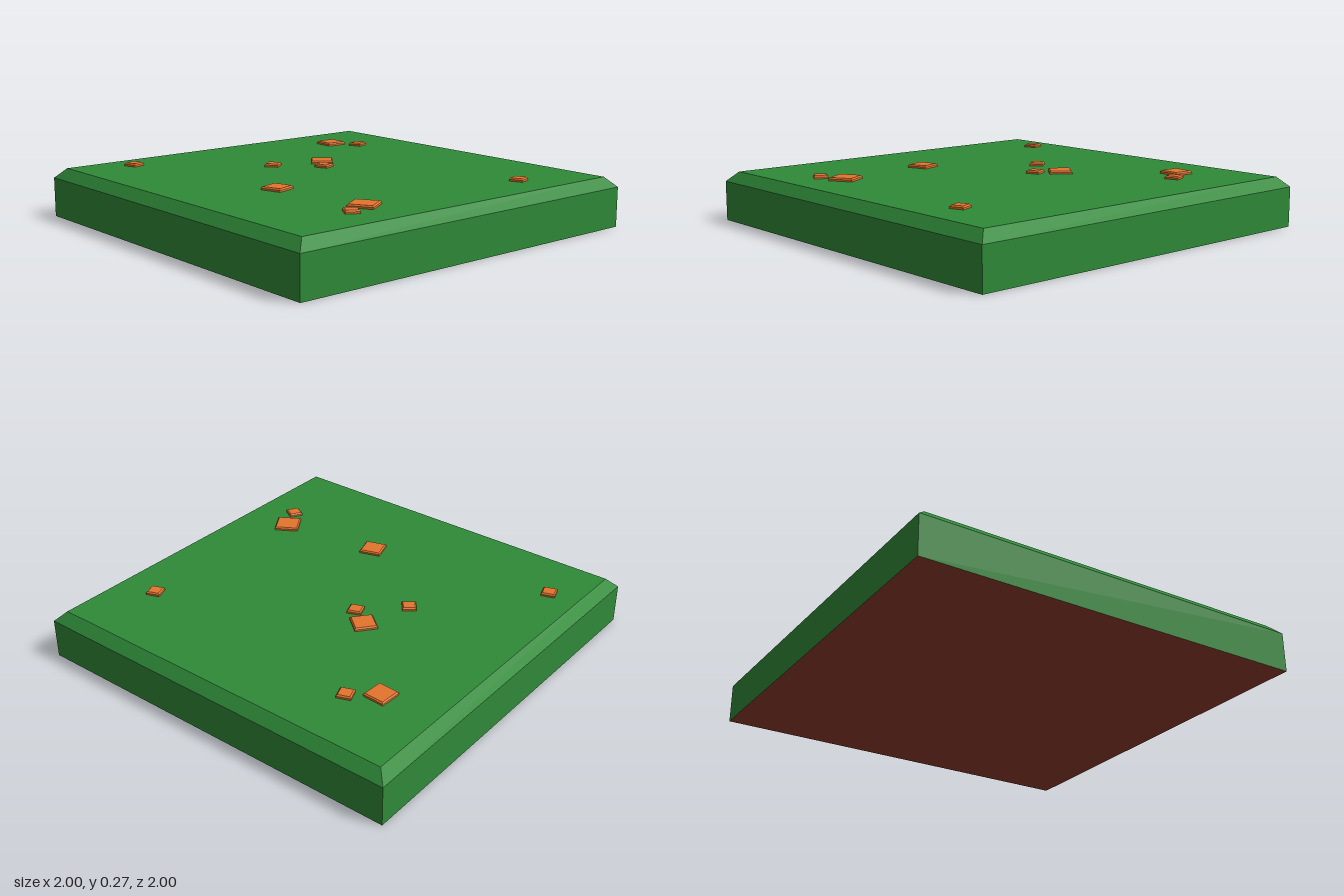
import * as THREE from 'three';

// Square block with sloped or upright sides, sitting on y = 0
function block(bottom, top, height, openEnded) {
  const r = Math.SQRT1_2;
  const g = new THREE.CylinderGeometry(top * r, bottom * r, height, 4, 1, openEnded, Math.PI / 4);
  g.translate(0, height / 2, 0);
  const flat = g.toNonIndexed();
  flat.computeVertexNormals();
  return flat;
}

export function createModel() {
  const grass = new THREE.MeshStandardMaterial({ color: 0x2f8a38 });
  grass.name = 'grass green';
  const earth = new THREE.MeshStandardMaterial({ color: 0x943e2f });
  earth.name = 'earth brown';
  const clay = new THREE.MeshStandardMaterial({ color: 0xe4742d });
  clay.name = 'clay orange';

  const model = new THREE.Group();
  model.name = 'groundTile';
  const add = (parent, name, geometry, material, y) => {
    const mesh = new THREE.Mesh(geometry, material);
    mesh.name = name;
    mesh.position.y = y;
    parent.add(mesh);
  };

  // Tile: upright sides, bevelled top and earthen underside
  add(model, 'tileSides', block(2, 2, 0.2, true), grass, 0);
  add(model, 'tileTop', block(2, 1.9, 0.05, false), grass, 0.2);
  add(model, 'underside', new THREE.PlaneGeometry(2, 2).rotateX(Math.PI / 2), earth, 0);

  // Scattered bevelled stones: x, z, width, turn in degrees
  const stones = [
    [-0.648, -0.797, 0.07, 18],
    [0.557, -0.657, 0.113, -3],
    [0.65, -0.533, 0.07, 20],
    [-0.11, -0.328, 0.07, 38],
    [0.147, -0.246, 0.113, -39],
    [0.075, -0.142, 0.07, 20],
    [-0.458, 0.157, 0.11, 17],
    [-0.388, 0.686, 0.125, 31],
    [-0.514, 0.747, 0.07, -30],
    [0.558, 0.744, 0.07, 20],
  ];
  for (const [x, z, width, turn] of stones) {
    const stone = new THREE.Group();
    stone.name = 'stone';
    add(stone, 'stoneSides', block(width, width, 0.009, true), clay, 0);
    add(stone, 'stoneTop', block(width, width - 0.012, 0.007, false), clay, 0.009);
    stone.position.set(x, 0.25, z);
    stone.rotation.y = THREE.MathUtils.degToRad(turn);
    model.add(stone);
  }
  return model;
}
